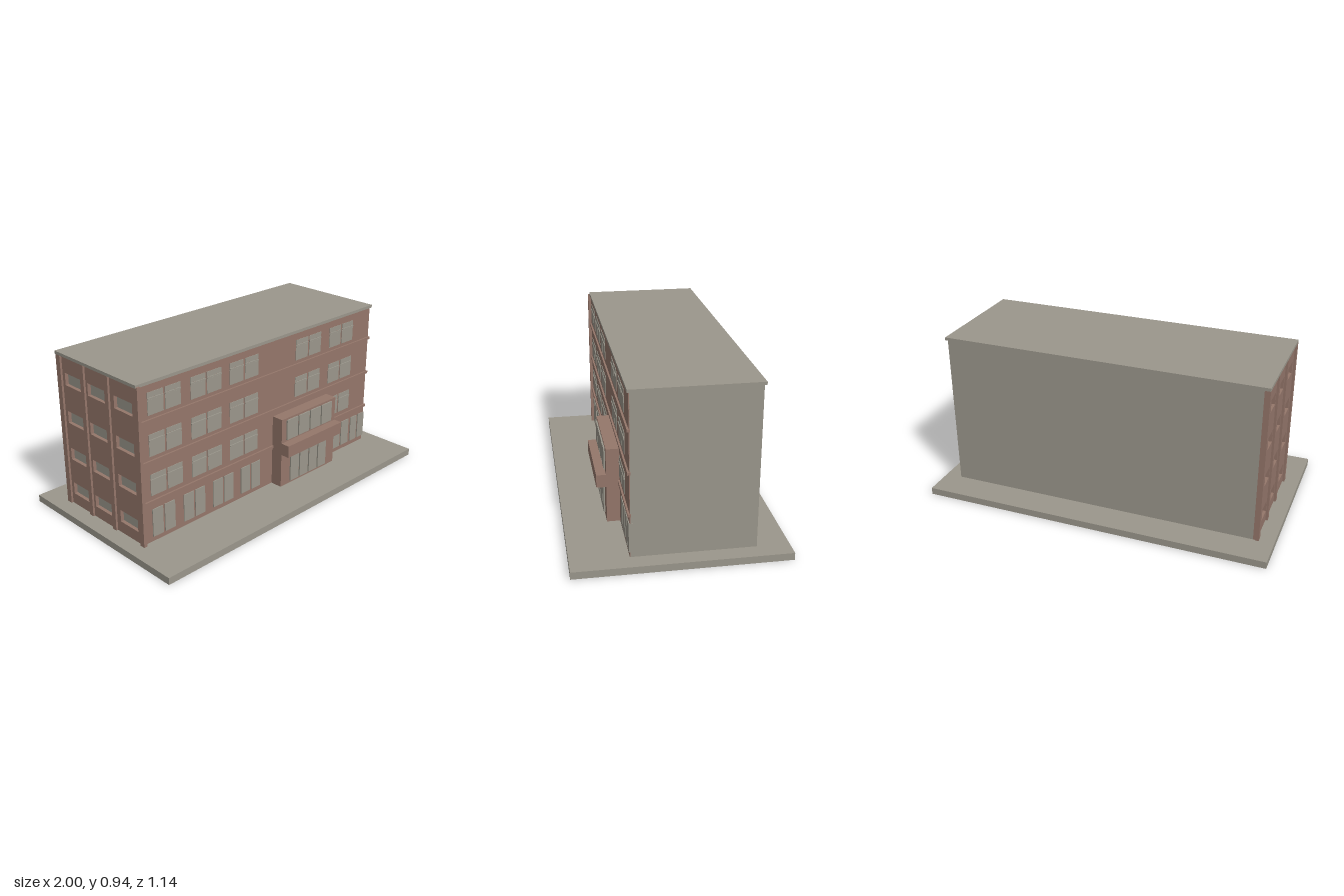
import * as THREE from 'three';

export function createModel() {
  const model = new THREE.Group();
  model.name = 'officeBuilding';
  const concrete = new THREE.MeshStandardMaterial({ color: 0x9b978c });
  concrete.name = 'concrete grey';
  const brick = new THREE.MeshStandardMaterial({ color: 0x95776b });
  brick.name = 'brick brown';

  // Box given by its minimum and maximum on each axis
  function box(name, mat, x0, x1, y0, y1, z0, z1, parent = model) {
    const m = new THREE.Mesh(new THREE.BoxGeometry(x1 - x0, y1 - y0, z1 - z0), mat);
    m.position.set((x0 + x1) / 2, (y0 + y1) / 2, (z0 + z1) / 2);
    m.name = name;
    parent.add(m);
    return m;
  }

  // Row of equal panes with narrow gaps
  function panes(name, x0, x1, y0, y1, z0, z1, count, gap) {
    const g = new THREE.Group();
    g.name = name;
    const w = (x1 - x0 - gap * (count - 1)) / count;
    for (let i = 0; i < count; i++) {
      const x = x0 + i * (w + gap);
      box('pane', concrete, x, x + w, y0, y1, z0, z1, g);
    }
    model.add(g);
    return g;
  }

  // Ground slab, main block and roof
  box('groundSlab', concrete, -1, 1, 0, 0.04, -0.57, 0.57);
  box('mainBlock', concrete, -0.885, 0.905, 0.04, 0.926, -0.395, 0.258);
  box('roofSlab', concrete, -0.918, 0.915, 0.925, 0.942, -0.405, 0.27);

  // Brick front with floor ledges
  box('frontWall', brick, -0.905, 0.905, 0.04, 0.925, 0.257, 0.262);
  for (const y of [0.27, 0.498, 0.724])
    box('floorLedge', brick, -0.9, 0.911, y, y + 0.015, 0.255, 0.272);

  // Upper windows: two tall panes, a transom and two top lights
  function upperWindow(x, y) {
    panes('windowPanes', x, x + 0.215, y, y + 0.082, 0.25, 0.265, 2, 0.012);
    panes('windowTopLights', x, x + 0.215, y + 0.094, y + 0.122, 0.25, 0.265, 2, 0.012);
    panes('windowTransom', x, x + 0.215, y + 0.084, y + 0.092, 0.25, 0.268, 2, 0.012);
  }
  const rows = [0.31, 0.533, 0.759];
  rows.forEach((y, floor) => {
    const columns = [-0.845, -0.563, -0.285, 0.53];
    if (floor > 0) columns.push(0.236);
    for (const x of columns) upperWindow(x, y);
  });

  // Ground floor windows
  for (const x of [-0.842, -0.628, -0.414, -0.2, 0.602])
    panes('groundWindow', x, x + 0.152, 0.068, 0.23, 0.245, 0.267, 2, 0.012);
  panes('groundEndWindow', 0.775, 0.908, 0.068, 0.23, 0.245, 0.267, 2, 0.012);

  // Entrance bay with canopy, doors and upper glazing
  box('entranceBay', brick, 0.057, 0.525, 0.04, 0.467, 0.25, 0.334);
  box('entranceCanopy', brick, 0.057, 0.525, 0.248, 0.32, 0.25, 0.387);
  panes('entranceDoors', 0.132, 0.446, 0.055, 0.243, 0.32, 0.342, 4, 0.01);
  panes('entranceUpperWindow', 0.095, 0.485, 0.332, 0.455, 0.32, 0.342, 4, 0.01);

  // Brick side wall with recessed window openings
  const wall = new THREE.Shape();
  wall.moveTo(-0.395, 0.04);
  wall.lineTo(0.258, 0.04);
  wall.lineTo(0.258, 0.925);
  wall.lineTo(-0.395, 0.925);
  wall.closePath();
  for (const y of [0.105, 0.32, 0.54, 0.76]) {
    for (const z of [-0.345, -0.145, 0.075]) {
      const hole = new THREE.Path();
      hole.moveTo(z, y);
      hole.lineTo(z, y + 0.07);
      hole.lineTo(z + 0.145, y + 0.07);
      hole.lineTo(z + 0.145, y);
      hole.closePath();
      wall.holes.push(hole);
    }
  }
  const side = new THREE.Mesh(
    new THREE.ExtrudeGeometry(wall, { depth: 0.02, bevelEnabled: false }), brick);
  side.rotation.y = -Math.PI / 2;
  side.position.x = -0.885;
  side.name = 'sideWall';
  model.add(side);

  // Pillars along the side wall
  for (const [z0, z1] of [[-0.4, -0.365], [-0.19, -0.16], [0.015, 0.045], [0.25, 0.28]])
    box('sidePillar', brick, -0.917, -0.897, 0.04, 0.932, z0, z1);

  return model;
}
